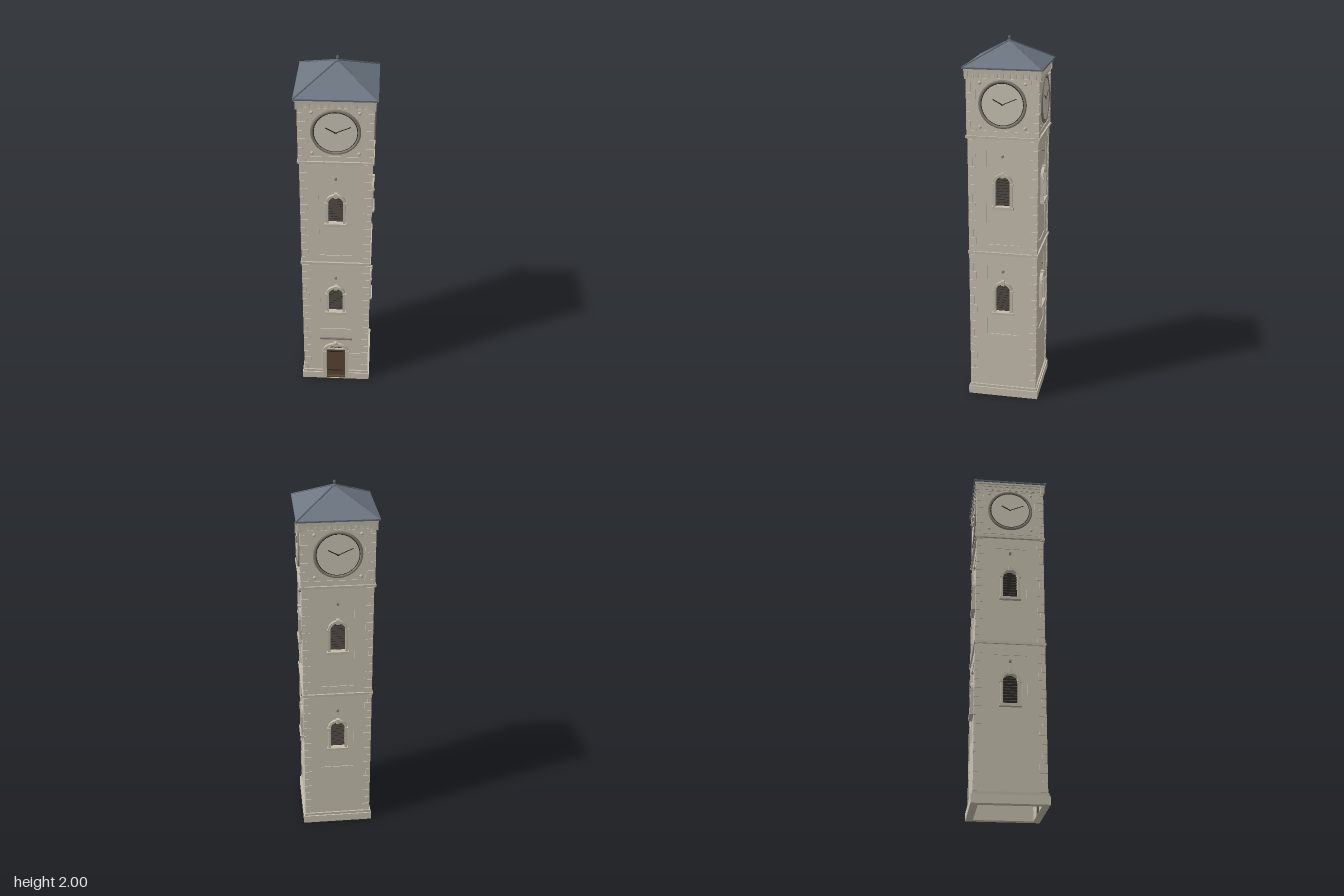
import * as THREE from 'three';

const mat = (name, color, opts = {}) => {
  const m = new THREE.MeshStandardMaterial({ color, ...opts });
  m.name = name;
  return m;
};

export function createModel() {
  const stone = mat('stone', 0xcbc4b3);
  const trim = mat('trimStone', 0xc3bcab);
  const ringStone = mat('ringStone', 0x858074);
  const slate = mat('slate', 0x6d7681, { flatShading: true });
  const hipSlate = mat('hipSlate', 0x626b76);
  const dark = mat('darkMetal', 0x2a2724);
  const louvre = mat('louvreWood', 0x3f3a34);
  const wood = mat('doorWood', 0x5b4634);
  const dial = mat('dial', 0xd0c9b9);

  const tower = new THREE.Group();
  tower.name = 'clockTower';

  const add = (parent, name, geo, m, x = 0, y = 0, z = 0) => {
    const mesh = new THREE.Mesh(geo, m);
    mesh.name = name;
    mesh.position.set(x, y, z);
    parent.add(mesh);
    return mesh;
  };
  // box given by its limits
  const block = (parent, name, m, x0, x1, y0, y1, z0, z1) =>
    add(parent, name, new THREE.BoxGeometry(x1 - x0, y1 - y0, z1 - z0), m,
      (x0 + x1) / 2, (y0 + y1) / 2, (z0 + z1) / 2);
  const rect = (C, x0, x1, y0, y1) => {
    const s = new C();
    s.moveTo(x0, y0); s.lineTo(x1, y0); s.lineTo(x1, y1); s.lineTo(x0, y1); s.closePath();
    return s;
  };
  // round arch: half width w, foot y0, spring line ys, rise
  const arch = (C, w, y0, ys, rise = w) => {
    const s = new C();
    s.moveTo(-w, y0); s.lineTo(w, y0); s.lineTo(w, ys);
    s.absellipse(0, ys, w, rise, 0, Math.PI, false, 0);
    s.closePath();
    return s;
  };
  const plate = (parent, name, m, shape, holes, z0, z1) => {
    shape.holes.push(...holes);
    const g = new THREE.ExtrudeGeometry(shape, { depth: z1 - z0, bevelEnabled: false, curveSegments: 16 });
    return add(parent, name, g, m, 0, 0, z0);
  };

  const windowFeet = [0.515, 1.125];
  const P = THREE.Path, S = THREE.Shape;

  function buildWindow(parent, y) {
    const g = new THREE.Group();
    g.name = 'archedWindow';
    g.position.y = y;
    parent.add(g);
    plate(g, 'windowSurround', trim, arch(S, 0.052, 0, 0.13), [arch(P, 0.039, 0.001, 0.13)], 0.176, 0.194);
    block(g, 'keystone', trim, -0.009, 0.009, 0.163, 0.19, 0.178, 0.198);
    block(g, 'windowSill', trim, -0.058, 0.058, -0.012, 0.003, 0.176, 0.2);
    for (const s of [-1, 1]) block(g, 'impost', trim, s * 0.048 - 0.009, s * 0.048 + 0.009, 0.122, 0.133, 0.178, 0.197);
    block(g, 'windowBack', dark, -0.05, 0.05, -0.005, 0.18, 0.153, 0.158);
    for (let i = 0; i < 10; i++) {
      const sy = 0.012 + i * 0.0155;
      const w = sy < 0.13 ? 0.039 : Math.sqrt(0.039 ** 2 - (sy - 0.13) ** 2);
      add(g, 'louvreSlat', new THREE.BoxGeometry(w * 2, 0.003, 0.016), louvre, 0, sy, 0.168).rotation.x = 0.6;
    }
  }

  function buildClock(parent) {
    const g = new THREE.Group();
    g.name = 'clock';
    g.position.set(0, 1.675, 0.186);
    parent.add(g);
    const disc = (name, r, d, m) => add(g, name, new THREE.CylinderGeometry(r, r, d, 48), m, 0, 0, d / 2).rotateX(Math.PI / 2);
    disc('clockRim', 0.113, 0.005, dark);
    disc('clockDial', 0.107, 0.007, dial);
    add(g, 'clockRing', new THREE.TorusGeometry(0.118, 0.008, 8, 48), ringStone, 0, 0, 0.003);
    const hand = (name, angle, len, w) => {
      const geo = new THREE.BoxGeometry(w, len, 0.002).translate(0, len / 2 - 0.006, 0);
      add(g, name, geo, dark, 0, 0, 0.009).rotation.z = angle;
    };
    hand('hourHand', 1.08, 0.062, 0.005);
    hand('minuteHand', -1.16, 0.088, 0.0035);
  }

  function buildDoor(parent) {
    const g = new THREE.Group();
    g.name = 'entrance';
    parent.add(g);
    plate(g, 'doorSurround', trim, arch(S, 0.075, 0, 0.215, 0.058), [arch(P, 0.054, 0.001, 0.222, 0.034)], 0.16, 0.196);
    block(g, 'doorLeaf', wood, -0.056, 0.056, 0.008, 0.226, 0.162, 0.178);
    block(g, 'lintel', trim, -0.056, 0.056, 0.222, 0.23, 0.162, 0.188);
    plate(g, 'tympanum', louvre, arch(S, 0.055, 0.226, 0.228, 0.032), [], 0.162, 0.18);
    block(g, 'threshold', wood, -0.054, 0.054, 0.001, 0.01, 0.162, 0.19);
    for (const y of [0.05, 0.2]) block(g, 'hinge', dark, -0.05, 0.04, y - 0.003, y + 0.003, 0.178, 0.18);
    for (const x of [-0.027, 0, 0.027]) block(g, 'plankJoint', dark, x - 0.0008, x + 0.0008, 0.01, 0.222, 0.177, 0.1788);
    block(g, 'doorKeystone', trim, -0.012, 0.012, 0.252, 0.284, 0.178, 0.2);
    add(g, 'keystoneBoss', new THREE.SphereGeometry(0.011, 12, 8), trim, 0, 0.283, 0.195);
    for (const s of [-1, 1]) block(g, 'doorImpost', trim, s * 0.066 - 0.012, s * 0.066 + 0.012, 0.205, 0.217, 0.178, 0.199);
    block(g, 'doorShelf', ringStone, -0.092, 0.092, 0.304, 0.314, 0.178, 0.191);
    block(g, 'plaque', stone, 0.083, 0.14, 0.125, 0.193, 0.18, 0.186);
  }

  function buildSide(front) {
    const g = new THREE.Group();
    g.name = front ? 'frontSide' : 'side';

    // wall with openings, and a raised layer that leaves sunk panels
    const openings = windowFeet.map(y => arch(P, 0.039, y, y + 0.13));
    const door = () => arch(P, 0.06, 0.002, 0.222, 0.035);
    plate(g, 'wall', stone, rect(S, -0.178, 0.178, 0, 1.5), front ? [...openings, door()] : openings, 0.158, 0.178);
    const panels = [rect(P, -0.088, 0.088, 0.38, 0.79), rect(P, -0.088, 0.088, 0.91, 1.43)];
    plate(g, 'wallFrame', stone, rect(S, -0.182, 0.182, 0, 1.5), front ? [...panels, door()] : panels, 0.178, 0.182);
    block(g, 'clockStageWall', stone, -0.186, 0.186, 1.5, 1.85, 0.158, 0.186);

    // plinth, broken by the door on the front
    const runs = front ? [[-1, -0.07], [0.07, 1]] : [[-1, 1]];
    const clip = (v, h) => Math.max(-h, Math.min(h, v));
    for (const [a, b] of runs) {
      block(g, 'plinth', stone, clip(a, 0.196), clip(b, 0.196), 0, 0.045, 0.17, 0.196);
      block(g, 'plinthCap', trim, clip(a, 0.19), clip(b, 0.19), 0.045, 0.06, 0.17, 0.19);
    }

    // string courses and cornice
    block(g, 'middleBand', trim, -0.191, 0.191, 0.852, 0.866, 0.17, 0.191);
    block(g, 'upperBand', trim, -0.195, 0.195, 1.494, 1.506, 0.17, 0.195);
    block(g, 'cornice', trim, -0.2, 0.2, 1.842, 1.856, 0.15, 0.2);

    // corner stones, long and short in turn
    for (let i = 0; i < 36; i++) {
      const y = 0.062 + i * 0.0492;
      const out = y > 1.47 ? 0.19 : 0.186;
      for (const s of [-1, 1]) {
        const len = (i + (s > 0 ? 1 : 0)) % 2 ? 0.04 : 0.024;
        const x = s * (out - len / 2);
        block(g, 'cornerStone', stone, x - len / 2, x + len / 2, y, y + 0.046, 0.17, out);
      }
    }

    // corbel table under the cornice
    block(g, 'corbelBand', trim, -0.19, 0.19, 1.83, 1.843, 0.18, 0.194);
    for (let i = 0; i < 11; i++) {
      const x = -0.165 + i * 0.033;
      block(g, 'corbel', trim, x - 0.008, x + 0.008, 1.808, 1.832, 0.18, 0.193);
    }
    for (const s of [-1, 1]) block(g, 'cornerBracket', trim, s * 0.186 - 0.01, s * 0.186 + 0.01, 1.8, 1.845, 0.176, 0.197);

    // sunk spandrels with bosses around the clock
    plate(g, 'clockFrame', stone, rect(S, -0.15, 0.15, 1.52, 1.806), [rect(P, -0.138, 0.138, 1.535, 1.8)], 0.186, 0.189);
    for (const sx of [-1, 1]) for (const sy of [-1, 1])
      add(g, 'spandrelBoss', new THREE.SphereGeometry(0.009, 10, 6), trim, sx * 0.118, 1.668 + sy * 0.114, 0.186);

    // small round bosses above the windows
    for (const y of [0.755, 1.4])
      add(g, 'wallBoss', new THREE.CylinderGeometry(0.007, 0.007, 0.014, 12), ringStone, 0, y, 0.182).rotation.x = Math.PI / 2;

    windowFeet.forEach(y => buildWindow(g, y));
    buildClock(g);
    if (front) buildDoor(g);
    return g;
  }

  for (let i = 0; i < 4; i++) {
    const side = buildSide(i === 0);
    side.rotation.y = i * Math.PI / 2;
    tower.add(side);
  }

  // pyramid roof in overlapping slate courses
  const roof = new THREE.Group();
  roof.name = 'roof';
  tower.add(roof);
  const y0 = 1.86, y1 = 1.974, half = 0.207, courses = 10, step = (y1 - y0) / courses;
  block(roof, 'eaves', hipSlate, -0.208, 0.208, 1.853, 1.861, -0.208, 0.208);
  for (let i = 0; i < courses; i++) {
    const r = k => half * (1 - k / courses) * Math.SQRT2;
    const geo = new THREE.CylinderGeometry(r(i + 1), r(i) + 0.0015, step, 4).rotateY(Math.PI / 4);
    add(roof, 'slateCourse', geo, slate, 0, y0 + (i + 0.5) * step, 0);
  }
  for (const sx of [-1, 1]) for (const sz of [-1, 1]) {
    const line = new THREE.LineCurve3(new THREE.Vector3(sx * half, y0, sz * half), new THREE.Vector3(0, y1, 0));
    add(roof, 'hipRoll', new THREE.TubeGeometry(line, 1, 0.0045, 8), hipSlate);
  }
  const profile = [[0.014, 1.962], [0.013, 1.974], [0.006, 1.977], [0.005, 1.982], [0.009, 1.987], [0.006, 1.993], [0, 2]]
    .map(([x, y]) => new THREE.Vector2(x, y));
  add(roof, 'finial', new THREE.LatheGeometry(profile, 16), hipSlate);

  return tower;
}
